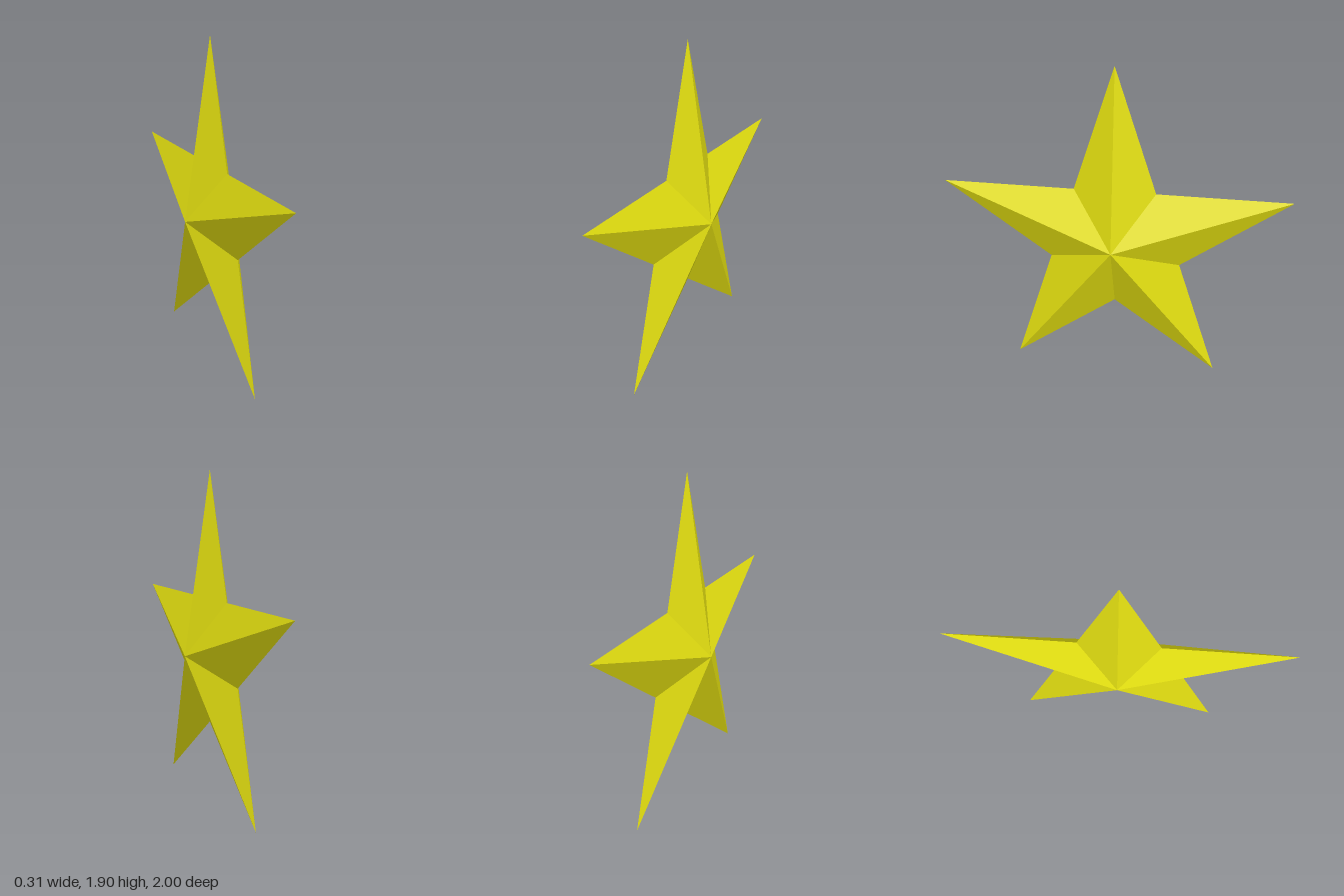
import * as THREE from 'three';

const POINTS = 5;
const OUTER = 1.0515;   // radius of the tips
const INNER = 0.4016;   // radius of the notches
const HALF_DEPTH = 0.156;
const CENTRE_Y = OUTER * Math.cos(Math.PI / POINTS); // lower tips rest on y = 0

// Corner i of the star outline, in the x = 0 plane, counted from the top tip towards +z
function corner(i) {
  const r = i % 2 === 0 ? OUTER : INNER;
  const a = (i * Math.PI) / POINTS;
  return [0, CENTRE_Y + r * Math.cos(a), r * Math.sin(a)];
}

// One faceted side: a fan of triangles from the raised centre to the outline
function starSide(side) {
  const apex = [side * HALF_DEPTH, CENTRE_Y, 0];
  const positions = [];
  for (let i = 0; i < POINTS * 2; i++) {
    const a = corner(i);
    const b = corner(i + 1);
    positions.push(...apex, ...(side > 0 ? a : b), ...(side > 0 ? b : a));
  }
  const geometry = new THREE.BufferGeometry();
  geometry.setAttribute('position', new THREE.Float32BufferAttribute(positions, 3));
  geometry.computeVertexNormals();
  return geometry;
}

export function createModel() {
  const group = new THREE.Group();
  group.name = 'star';
  const material = new THREE.MeshStandardMaterial({ color: 0xe3df10, flatShading: true });
  for (const [name, side] of [['leftStarSide', 1], ['rightStarSide', -1]]) {
    const mesh = new THREE.Mesh(starSide(side), material);
    mesh.name = name;
    group.add(mesh);
  }
  return group;
}
